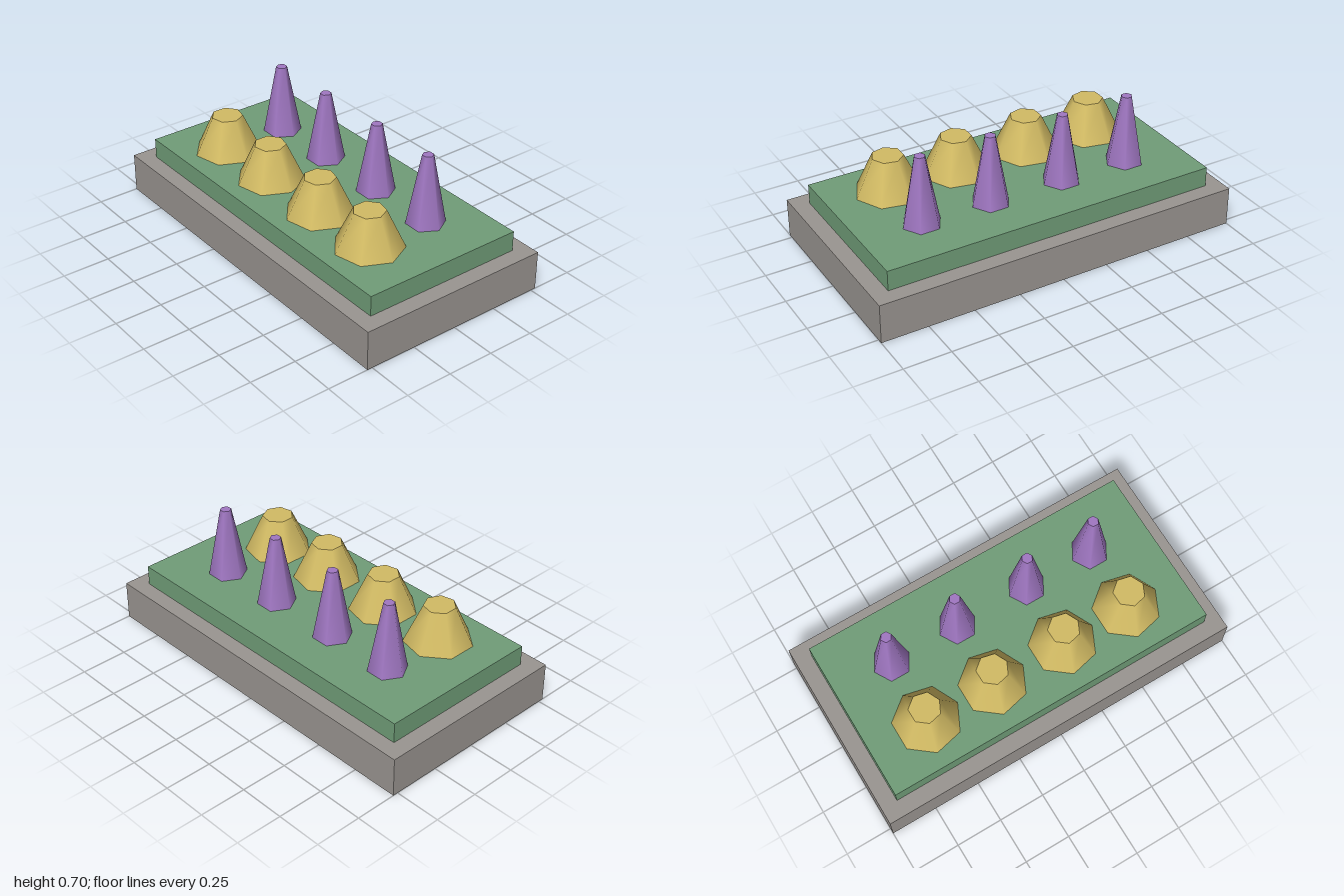
import * as THREE from 'three';

const material = (name, color) => {
  const m = new THREE.MeshStandardMaterial({ color });
  m.name = name;
  return m;
};

export function createModel() {
  const group = new THREE.Group();
  const stone = material('stone grey', 0x9a9591);
  const green = material('soft green', 0x709d78);
  const yellow = material('sand yellow', 0xd2bb64);
  const purple = material('violet', 0xa077c2);

  const add = (name, geometry, mat, x, y, z) => {
    const mesh = new THREE.Mesh(geometry, mat);
    mesh.name = name;
    mesh.position.set(x, y, z);
    group.add(mesh);
  };

  // Stepped plinth
  const baseTop = 0.211, bedTop = 0.319;
  add('base', new THREE.BoxGeometry(2, baseTop, 1.056), stone, 0, baseTop / 2, 0);
  add('bed', new THREE.BoxGeometry(1.824, bedTop - baseTop, 0.884), green, 0, (baseTop + bedTop) / 2, 0);

  // Truncated cones with one corner pointing along +x
  const cone = (rTop, rBottom, height, sides) =>
    new THREE.CylinderGeometry(rTop, rBottom, height, sides, 1, false, Math.PI / 2);
  const wideHeight = 0.202, tallHeight = 0.377;
  const wide = cone(0.082, 0.177, wideHeight, 7);
  const tall = cone(0.029, 0.101, tallHeight, 6);

  // Front row of wide cones, back row of tall cones
  [-0.589, -0.207, 0.204, 0.586].forEach((x, i) => {
    add(`wideCone${i + 1}`, wide, yellow, x, bedTop + wideHeight / 2, 0.19);
    add(`tallCone${i + 1}`, tall, purple, x, bedTop + tallHeight / 2, -0.163);
  });

  return group;
}
